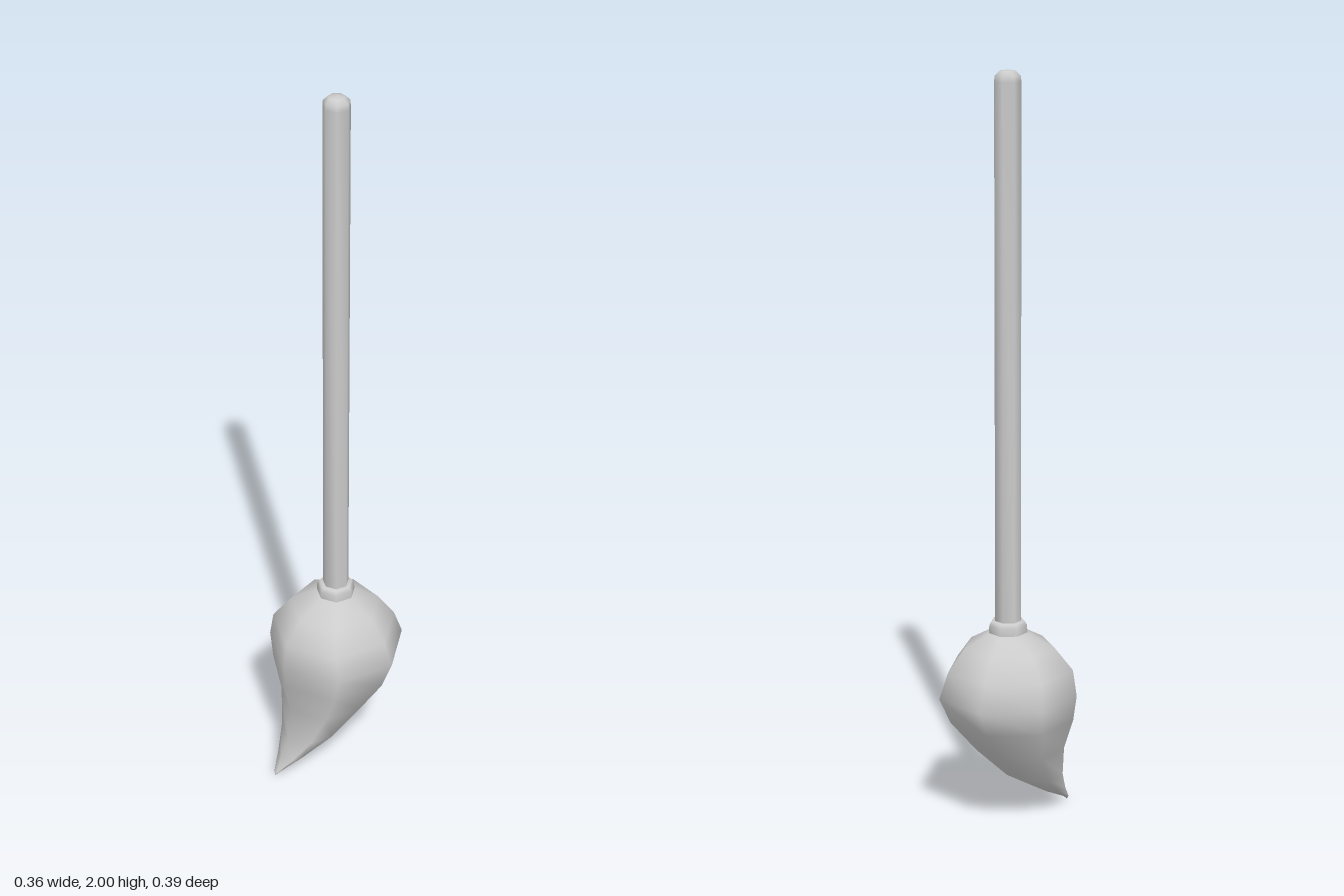
import * as THREE from 'three';
import { mergeVertices } from 'three/addons/utils/BufferGeometryUtils.js';

const SIDES = 7;
const AXIS_Z = -0.03;
const material = new THREE.MeshStandardMaterial({ color: 0xcccccc });

// Seven-sided turned part; each ring is [y, radius, centre z], from bottom to top
function turned(name, rings) {
  const profile = rings.map(([y, r]) => new THREE.Vector2(r, y));
  const geometry = new THREE.LatheGeometry(profile, SIDES);
  const position = geometry.attributes.position;
  for (let i = 0; i < position.count; i++) {
    const centre = rings[i % rings.length][2] ?? AXIS_Z;
    position.setZ(i, position.getZ(i) + centre);
  }
  // Weld the seam so the shading stays smooth all round
  geometry.deleteAttribute('uv');
  geometry.deleteAttribute('normal');
  const welded = mergeVertices(geometry, 1e-5);
  welded.computeVertexNormals();
  const mesh = new THREE.Mesh(welded, material);
  mesh.name = name;
  return mesh;
}

export function createModel() {
  const group = new THREE.Group();
  group.name = 'brush';

  // Bristles: a full bulb that sweeps forward to a point
  group.add(turned('bristles', [
    [0, 0, 0.188],
    [0.01, 0.007, 0.184],
    [0.05, 0.037, 0.131],
    [0.11, 0.077, 0.066],
    [0.2, 0.12, 0.012],
    [0.29, 0.167, -0.019],
    [0.36, 0.186, -0.033],
    [0.43, 0.169, -0.024],
    [0.49, 0.122, -0.027],
    [0.53, 0.052],
    [0.535, 0],
  ]));

  // Collar joining the bristles to the handle
  group.add(turned('collar', [
    [0.515, 0.052], [0.53, 0.052], [0.551, 0.051], [0.561, 0.045], [0.562, 0.03],
  ]));

  // Long straight handle with a small rounded end
  group.add(turned('handle', [
    [0.53, 0.035], [0.56, 0.035], [1.97, 0.035], [1.985, 0.034], [1.997, 0.022], [2, 0],
  ]));

  return group;
}
